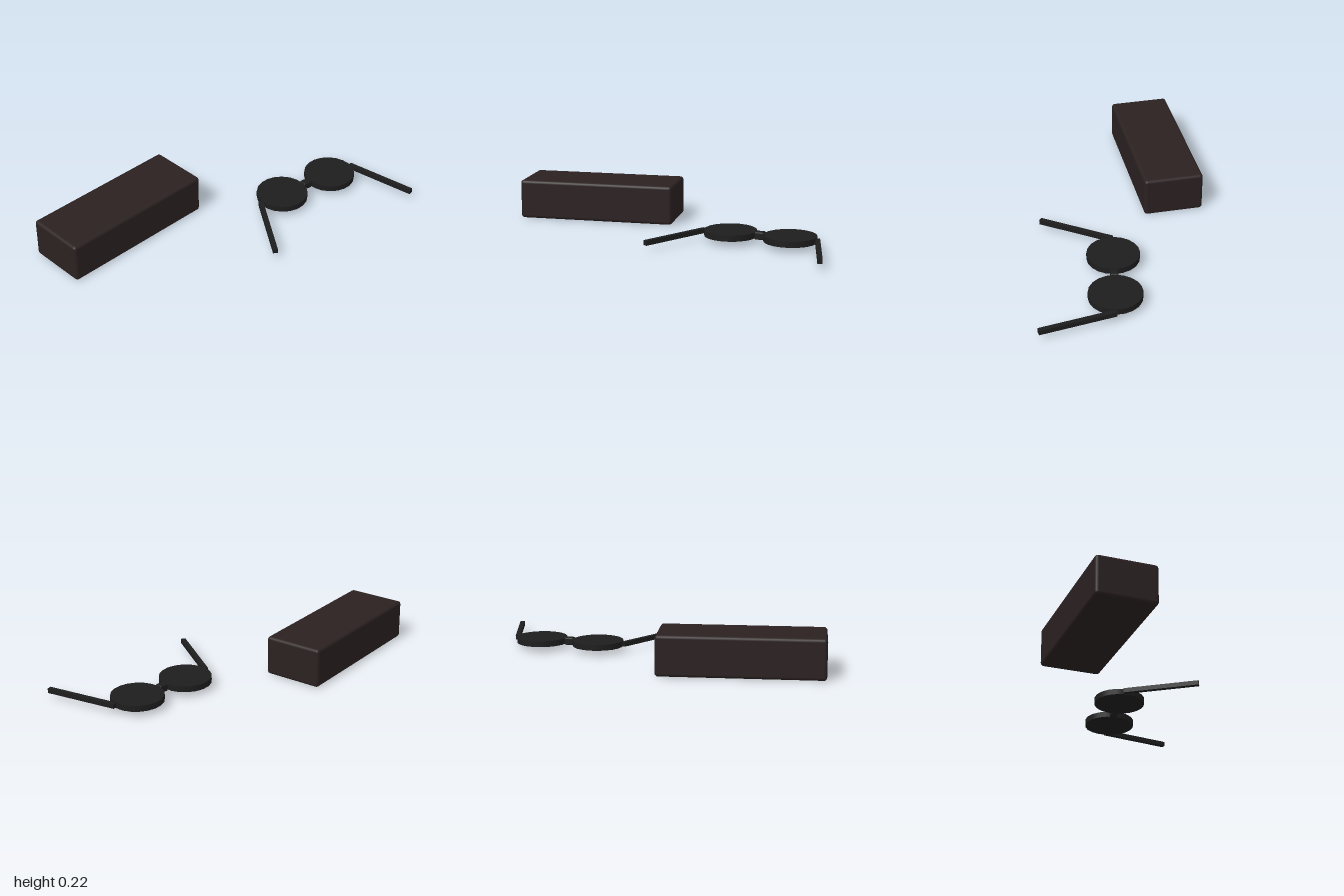
import * as THREE from 'three';
import { RoundedBoxGeometry } from 'three/addons/geometries/RoundedBoxGeometry.js';

const caseMaterial = new THREE.MeshStandardMaterial({ color: 0x2b2121 });
const glassesMaterial = new THREE.MeshStandardMaterial({ color: 0x1d1d1d });

function addPart(parent, name, geometry, material, x, y, z) {
  const mesh = new THREE.Mesh(geometry, material);
  mesh.name = name;
  mesh.position.set(x, y, z);
  parent.add(mesh);
  return mesh;
}

// Straight bar lying flat between two points [x, z]
function addTemple(parent, name, [x0, z0], [x1, z1], y) {
  const dx = x1 - x0, dz = z1 - z0;
  const bar = new THREE.BoxGeometry(0.026, 0.026, Math.hypot(dx, dz));
  const mesh = addPart(parent, name, bar, glassesMaterial, (x0 + x1) / 2, y, (z0 + z1) / 2);
  mesh.rotation.y = Math.atan2(dx, dz);
}

export function createModel() {
  const model = new THREE.Group();
  model.name = 'glassesAndCase';

  // Closed case, turned slightly
  const box = new RoundedBoxGeometry(0.896, 0.222, 0.335, 3, 0.018);
  addPart(model, 'case', box, caseMaterial, -0.533, 0.113, -0.22).rotation.y = Math.PI / 18;

  // Folded-out glasses lying flat
  const glasses = new THREE.Group();
  glasses.name = 'glasses';
  model.add(glasses);
  const y = 0.047, z = 0.061;

  for (const [name, x] of [['rightLens', 0.367], ['leftLens', 0.705]]) {
    addPart(glasses, name, new THREE.CylinderGeometry(0.144, 0.144, 0.033, 20), glassesMaterial, x, y, z);
  }

  // Bridge between the lenses
  addPart(glasses, 'bridge', new RoundedBoxGeometry(0.054, 0.043, 0.044, 2, 0.008), glassesMaterial, 0.536, y, z);

  // Splayed temples
  addTemple(glasses, 'rightTemple', [0.217, 0.062], [0.033, 0.453], y);
  addTemple(glasses, 'leftTemple', [0.856, 0.062], [0.986, 0.455], y);

  return model;
}
